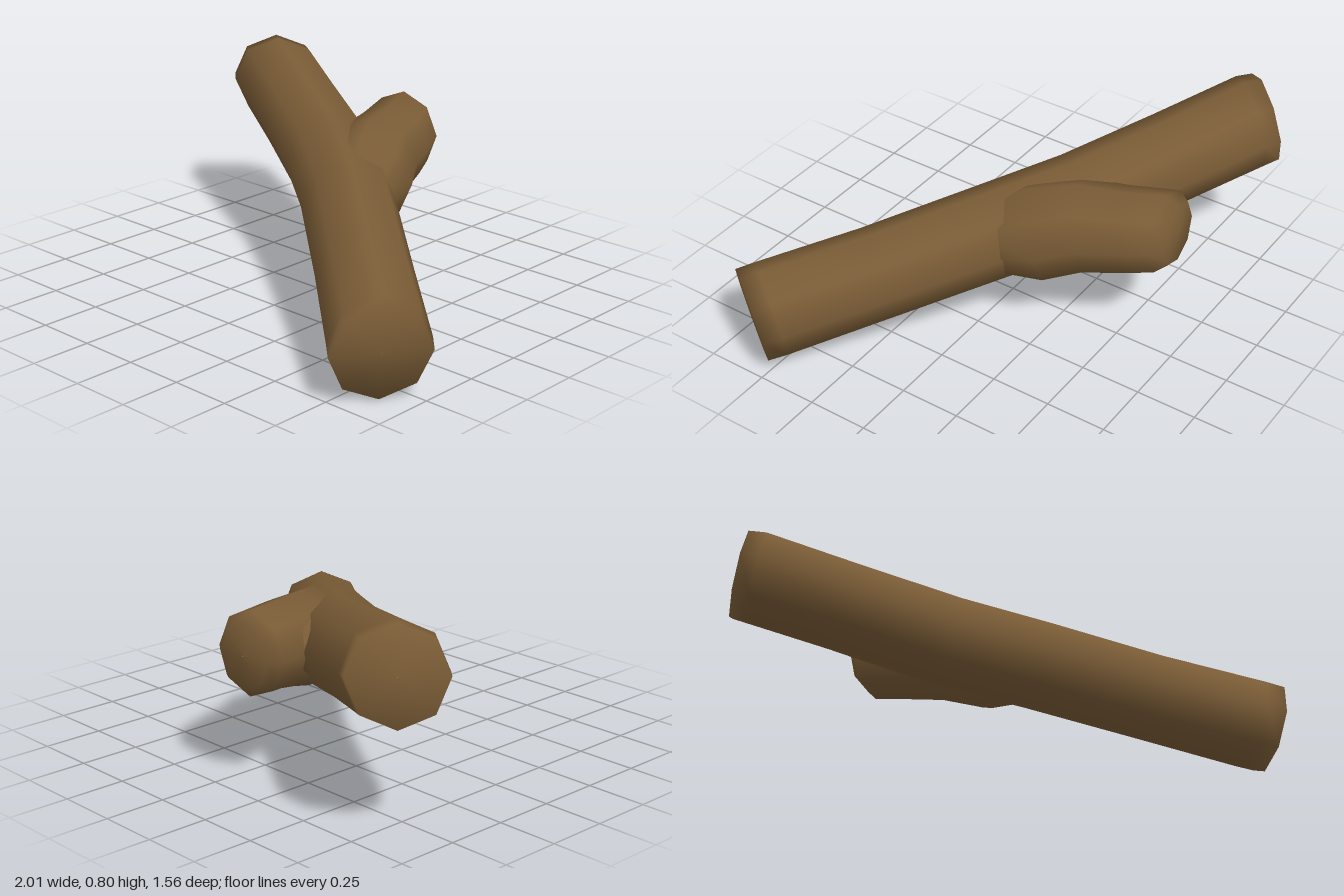
import * as THREE from 'three';

const SIDES = 8;

// Smooth closed limb through rings of [x, y, z, radius, optional ring axis]
function limb(name, rings, material) {
  const centres = rings.map(r => new THREE.Vector3(r[0], r[1], r[2]));
  const up = new THREE.Vector3(0, 1, 0);
  const position = [], index = [];
  rings.forEach((ring, i) => {
    const axis = ring[4]
      ? new THREE.Vector3(...ring[4])
      : centres[Math.min(i + 1, rings.length - 1)].clone().sub(centres[Math.max(i - 1, 0)]);
    axis.normalize();
    const side = axis.clone().cross(up).normalize();
    const rise = side.clone().cross(axis);
    for (let j = 0; j < SIDES; j++) {
      const a = j / SIDES * Math.PI * 2;
      const p = centres[i].clone()
        .addScaledVector(side, Math.cos(a) * ring[3])
        .addScaledVector(rise, Math.sin(a) * ring[3]);
      position.push(p.x, p.y, p.z);
    }
  });
  for (let i = 0; i < rings.length - 1; i++) {
    for (let j = 0; j < SIDES; j++) {
      const a = i * SIDES + j, b = i * SIDES + (j + 1) % SIDES;
      index.push(a, a + SIDES, b, b, a + SIDES, b + SIDES);
    }
  }
  const geometry = new THREE.BufferGeometry();
  geometry.setAttribute('position', new THREE.Float32BufferAttribute(position, 3));
  geometry.setIndex(index);
  geometry.computeVertexNormals();
  const mesh = new THREE.Mesh(geometry, material);
  mesh.name = name;
  return mesh;
}

export function createModel() {
  const bark = new THREE.MeshStandardMaterial({ color: 0x7a5c36 });
  bark.name = 'barkBrown';
  const group = new THREE.Group();
  group.name = 'forkedLog';

  // Main log, gently bent, with a flat cap at each end
  const upperCut = [0.72, -0.18, 0.67], lowerCut = [0.8, -0.16, 0.57];
  group.add(limb('mainLog', [
    [-0.878, 0.627, -0.655, 0.001, upperCut],
    [-0.875, 0.626, -0.652, 0.185, upperCut],
    [-0.82, 0.618, -0.61, 0.193, upperCut],
    [-0.51, 0.555, -0.435, 0.187],
    [-0.14, 0.475, -0.225, 0.193],
    [0.17, 0.41, 0, 0.19],
    [0.52, 0.305, 0.295, 0.187],
    [0.84, 0.215, 0.57, 0.192, lowerCut],
    [0.895, 0.197, 0.622, 0.19, lowerCut],
    [0.898, 0.196, 0.624, 0.001, lowerCut],
  ], bark));

  // Short side branch, flared where it leaves the log
  const stubCut = [-0.08, 0.05, -1];
  group.add(limb('sideBranch', [
    [0.2, 0.4, 0, 0.13],
    [0.09, 0.445, -0.17, 0.2],
    [0.005, 0.485, -0.33, 0.187],
    [-0.045, 0.505, -0.5, 0.172],
    [-0.1, 0.522, -0.645, 0.167, stubCut],
    [-0.11, 0.525, -0.688, 0.125, stubCut],
    [-0.112, 0.526, -0.695, 0.001, stubCut],
  ], bark));

  // Web of bark filling the fork
  group.add(limb('forkWeb', [
    [-0.1, 0.48, -0.22, 0.15],
    [-0.14, 0.505, -0.36, 0.13],
    [-0.18, 0.515, -0.45, 0.085],
    [-0.19, 0.52, -0.5, 0.001],
  ], bark));

  return group;
}
